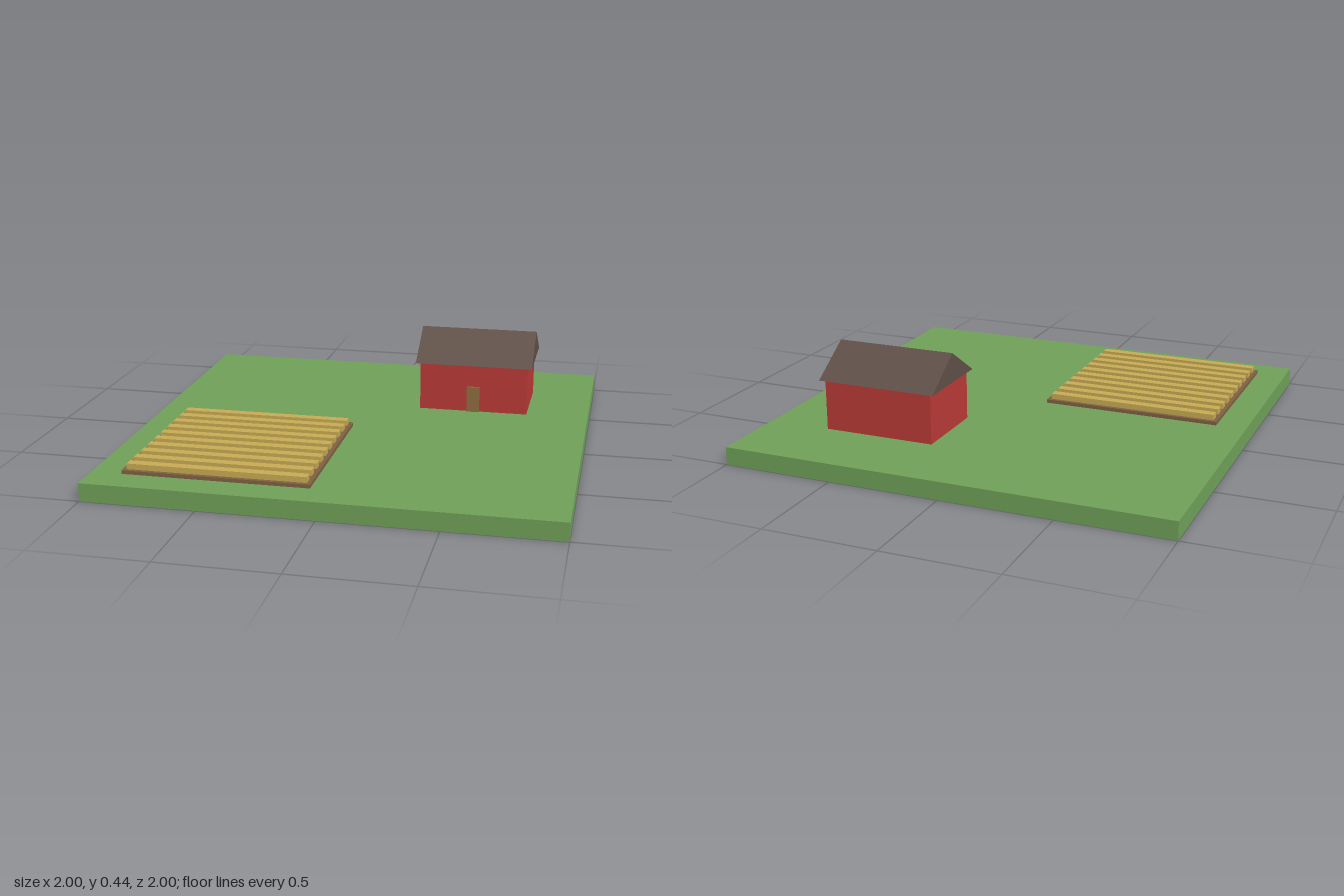
import * as THREE from 'three';

const material = (color) => new THREE.MeshStandardMaterial({ color, flatShading: true });

const GRASS = material(0x6f9f58);
const SOIL = material(0x7d6042);
const CROP = material(0xc6a953);
const WALL = material(0xb83a36);
const ROOF = material(0x5f4f47);
const WOOD = material(0x8f6b3e);

// Box standing on height y, centred on x and z
function block(name, mat, [w, h, d], [x, y, z]) {
  const mesh = new THREE.Mesh(new THREE.BoxGeometry(w, h, d), mat);
  mesh.name = name;
  mesh.position.set(x, y + h / 2, z);
  return mesh;
}

// Ploughed plot with ten raised crop rows
function createField() {
  const field = new THREE.Group();
  field.name = 'field';
  field.position.set(-0.46, 0.08, 0.457);
  field.add(block('soil', SOIL, [0.81, 0.016, 0.81], [0, 0, 0]));
  const rows = 10, spacing = 0.0815;
  for (let i = 0; i < rows; i++) {
    const z = (i - (rows - 1) / 2) * spacing;
    field.add(block('cropRow', CROP, [0.776, 0.026, 0.042], [0, 0.015, z]));
  }
  return field;
}

// Barn with a door at the front and a gable roof along x
function createBarn() {
  const barn = new THREE.Group();
  barn.name = 'barn';
  barn.position.set(0.458, 0.08, -0.458);
  barn.add(block('walls', WALL, [0.51, 0.228, 0.364], [0, 0, 0]));
  barn.add(block('door', WOOD, [0.06, 0.122, 0.02], [0, 0, 0.183]));

  const length = 0.55, halfDepth = 0.202, rise = 0.132;
  const gable = new THREE.Shape();
  gable.moveTo(-halfDepth, 0);
  gable.lineTo(halfDepth, 0);
  gable.lineTo(0, rise);
  gable.closePath();
  const geometry = new THREE.ExtrudeGeometry(gable, { depth: length, bevelEnabled: false });
  geometry.translate(0, 0, -length / 2);
  geometry.rotateY(Math.PI / 2);
  const roof = new THREE.Mesh(geometry, ROOF);
  roof.name = 'roof';
  roof.position.y = 0.228;
  barn.add(roof);
  return barn;
}

export function createModel() {
  const farm = new THREE.Group();
  farm.name = 'farm';
  farm.add(block('ground', GRASS, [2, 0.08, 2], [0, 0, 0]));
  farm.add(createField(), createBarn());
  return farm;
}
